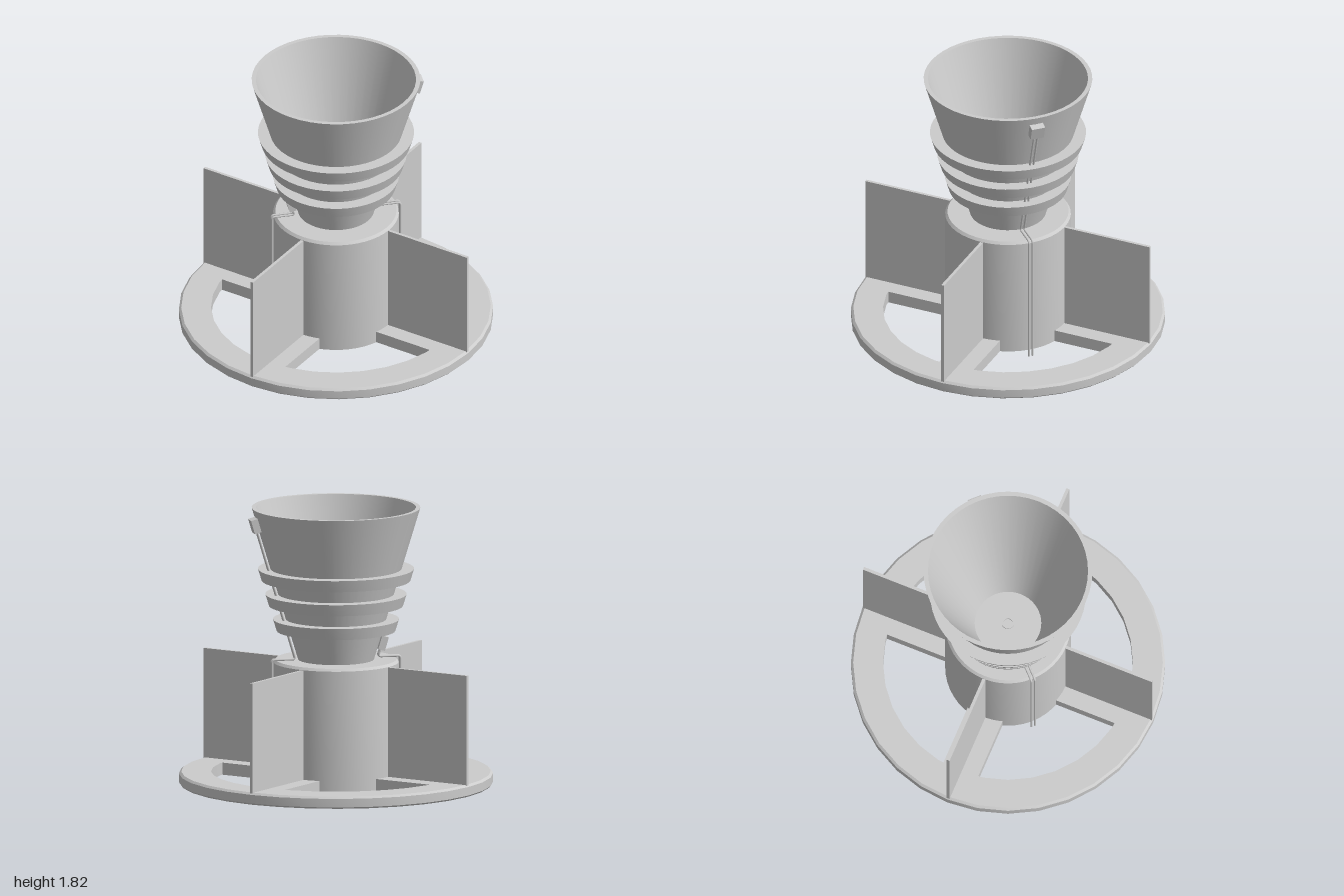
import * as THREE from 'three';
import { toCreasedNormals } from 'three/addons/utils/BufferGeometryUtils.js';

const grey = new THREE.MeshStandardMaterial({ color: 0xcccccc });

function add(parent, geometry, name) {
  const mesh = new THREE.Mesh(geometry, grey);
  mesh.name = name;
  parent.add(mesh);
  return mesh;
}

// Revolve [radius, height] pairs; profiles run up the outside, then inward
function revolve(profile, segments) {
  const points = profile.map(([r, y]) => new THREE.Vector2(r, y));
  return toCreasedNormals(new THREE.LatheGeometry(points, segments), 0.45);
}

// Straight wire runs joined by tight bends
function wireGeometry(points, z) {
  const v = points.map(([x, y]) => new THREE.Vector3(x, y, z));
  const path = new THREE.CurvePath();
  let from = v[0];
  for (let i = 1; i < v.length - 1; i++) {
    const before = v[i].clone().add(v[i - 1].clone().sub(v[i]).setLength(0.018));
    const after = v[i].clone().add(v[i + 1].clone().sub(v[i]).setLength(0.018));
    path.add(new THREE.LineCurve3(from, before));
    path.add(new THREE.QuadraticBezierCurve3(before, v[i], after));
    from = after;
  }
  path.add(new THREE.LineCurve3(from, v[v.length - 1]));
  return new THREE.TubeGeometry(path, 160, 0.007, 8, false);
}

// Pair of wires ending in a tilted sensor block
function sensor(points, blockAt, tilt, name) {
  const group = new THREE.Group();
  group.name = name;
  for (const z of [-0.012, 0.012]) add(group, wireGeometry(points, z), 'wire');
  const block = add(group, new THREE.BoxGeometry(0.045, 0.09, 0.09), 'sensorBlock');
  block.position.set(blockAt[0], blockAt[1], 0);
  block.rotation.z = tilt;
  return group;
}

export function createModel() {
  const model = new THREE.Group();
  model.name = 'finnedFunnelStand';

  // Base: rim with softened outer edges, four diagonal spokes
  add(model, revolve([
    [0.795, 0.035], [0.99, 0.035], [1, 0.045], [1, 0.1], [0.985, 0.113],
    [0.795, 0.113], [0.795, 0.035],
  ], 32), 'baseRim');
  for (let i = 0; i < 4; i++) {
    const arm = new THREE.Group();
    arm.name = 'spokeAndFin';
    arm.rotation.y = Math.PI / 4 + i * Math.PI / 2;
    add(arm, new THREE.BoxGeometry(0.5, 0.078, 0.24), 'spoke').position.set(0.58, 0.074, 0);
    add(arm, new THREE.BoxGeometry(0.62, 0.71, 0.02), 'fin').position.set(0.685, 0.463, 0);
    model.add(arm);
  }

  // Cylindrical body with a chamfered top
  add(model, revolve([
    [0, 0.035], [0.4, 0.035], [0.4, 0.82], [0.385, 0.836], [0, 0.836],
  ], 48), 'body');

  // Open funnel with wall thickness and closed floor
  add(model, revolve([
    [0.24, 0.83], [0.537, 1.815], [0.509, 1.815], [0.212, 0.845], [0, 0.845],
  ], 48), 'funnel');
  add(model, revolve([
    [0.04, 0.84], [0.04, 0.853], [0.028, 0.853], [0.028, 0.84],
  ], 24), 'floorNozzle');

  // Flared bands following the funnel slope
  for (const [y, r] of [[1.02, 0.378], [1.182, 0.427], [1.345, 0.474]]) {
    const wall = 0.095;
    add(model, revolve([
      [r - wall, y], [r, y], [r + 0.023, y + 0.075],
      [r + 0.023 - wall, y + 0.075], [r - wall, y],
    ], 48), 'band');
  }

  // Long sensor lead up the funnel, short one near its foot
  model.add(sensor(
    [[0.418, 0], [0.418, 0.845], [0.265, 0.845], [0.525, 1.71]],
    [0.528, 1.715], -0.29, 'upperSensor'));
  model.add(sensor(
    [[-0.418, 0], [-0.418, 0.845], [-0.273, 0.845], [-0.296, 0.92]],
    [-0.3, 0.933], 0.29, 'lowerSensor'));

  return model;
}
